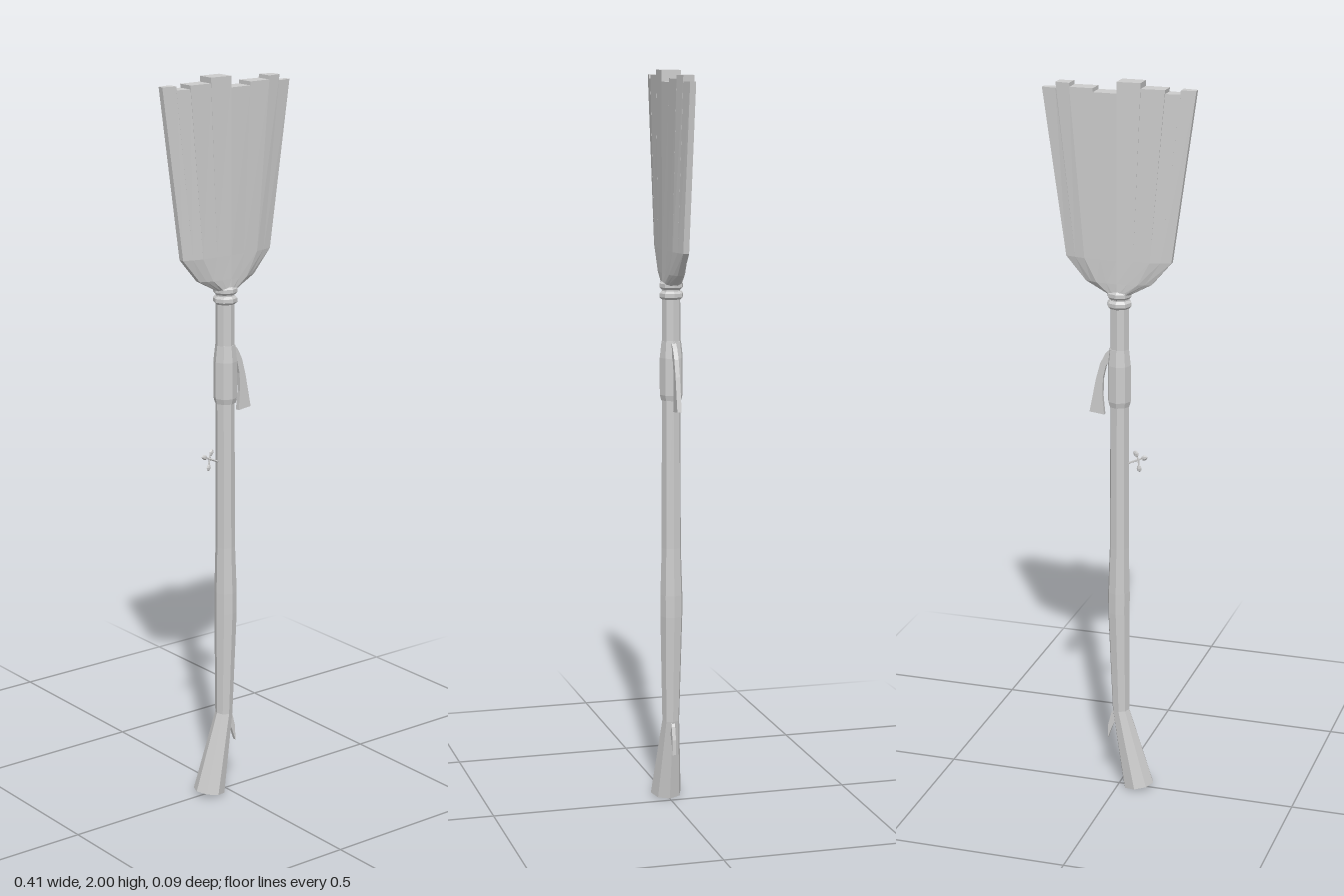
import * as THREE from 'three';

const material = new THREE.MeshStandardMaterial({ color: 0xcccccc, flatShading: true });
const thinMaterial = new THREE.MeshStandardMaterial({ color: 0xcccccc, flatShading: true, side: THREE.DoubleSide });

function add(parent, name, geometry, mat = material) {
  const mesh = new THREE.Mesh(geometry, mat);
  mesh.name = name;
  parent.add(mesh);
  return mesh;
}

// Eight-sided bar through rings given as [centre x, y, radius, slope of the ring].
function ringBar(rings) {
  const n = rings.length - 1;
  const geometry = new THREE.CylinderGeometry(1, 1, 1, 8, n);
  const p = geometry.attributes.position;
  for (let i = 0; i < p.count; i++) {
    const [cx, y, r, slope = 0] = rings[Math.round((p.getY(i) + 0.5) * n)];
    const dx = p.getX(i) * r;
    p.setXYZ(i, cx + dx, y + dx * slope, p.getZ(i) * r);
  }
  geometry.computeVertexNormals();
  return geometry;
}

// One closed strip of the bristle head, from a to b across its width.
function bristleStrip(a, b, top) {
  const levels = [[1.435, 0.03], [1.467, 0.09], [1.53, 0.144], [top, 0.207]];
  const halfDepth = (u) => {
    const t = Math.abs(u);
    return t < 0.62 ? 0.026 - 0.004 * t / 0.62 : 0.022 - 0.014 * (t - 0.62) / 0.38;
  };
  const positions = [], index = [];
  for (const [y, w] of levels) {
    for (const [u, s] of [[a, 1], [b, 1], [b, -1], [a, -1]]) positions.push(u * w, y, s * halfDepth(u));
  }
  for (let l = 0; l < levels.length - 1; l++) {
    for (let k = 0; k < 4; k++) {
      const i = l * 4 + k, j = l * 4 + (k + 1) % 4;
      index.push(i, j, j + 4, i, j + 4, i + 4);
    }
  }
  const t = (levels.length - 1) * 4;
  index.push(t, t + 1, t + 2, t, t + 2, t + 3, 0, 2, 1, 0, 3, 2);
  const geometry = new THREE.BufferGeometry();
  geometry.setAttribute('position', new THREE.Float32BufferAttribute(positions, 3));
  geometry.setIndex(index);
  geometry.computeVertexNormals();
  return geometry;
}

// Thin plate cut from an outline in the xy plane.
function plate(points, depth) {
  const shape = new THREE.Shape(points.map(([x, y]) => new THREE.Vector2(x, y)));
  return new THREE.ExtrudeGeometry(shape, { depth, bevelEnabled: false }).translate(0, 0, -depth / 2);
}

function rod(from, to, r) {
  const a = new THREE.Vector3(...from), b = new THREE.Vector3(...to), d = b.clone().sub(a);
  const geometry = new THREE.CylinderGeometry(r, r, d.length(), 5);
  geometry.applyQuaternion(new THREE.Quaternion().setFromUnitVectors(new THREE.Vector3(0, 1, 0), d.normalize()));
  const m = a.add(b).multiplyScalar(0.5);
  return geometry.translate(m.x, m.y, m.z);
}

export function createModel() {
  const broom = new THREE.Group();
  broom.name = 'broom';

  // Handle with a bent, flared foot
  add(broom, 'handle', ringBar([
    [-0.057, 0.012, 0.043, -0.18], [-0.005, 0.235, 0.024, -0.08], [0.001, 0.53, 0.031],
    [0.001, 0.59, 0.031], [0, 0.72, 0.027], [-0.001, 1.13, 0.026], [-0.001, 1.46, 0.025],
  ]));

  // Wrapped grip and the two cords under the head
  add(broom, 'grip', ringBar([[0, 1.125, 0.028], [0, 1.14, 0.032], [0, 1.24, 0.032], [0, 1.285, 0.027]]));
  for (const y of [1.408, 1.434]) {
    add(broom, 'cord', ringBar([[0, y - 0.011, 0.027], [0, y - 0.005, 0.033], [0, y + 0.005, 0.033], [0, y + 0.011, 0.027]]));
  }

  // Flat bristle head with an uneven top
  const head = new THREE.Group();
  head.name = 'bristles';
  broom.add(head);
  const cuts = [-1, -0.81, -0.62, -0.31, 0, 0.31, 0.62, 0.81, 1];
  const tops = [1.985, 1.975, 1.985, 2, 1.97, 1.98, 1.99, 1.974];
  tops.forEach((top, i) => add(head, 'bristleStrip', bristleStrip(cuts[i], cuts[i + 1], top)));

  // Loose end of the wrap
  add(broom, 'ribbon', plate([
    [0.022, 1.285], [0.038, 1.268], [0.052, 1.24], [0.064, 1.195], [0.082, 1.103],
    [0.041, 1.098], [0.046, 1.15], [0.044, 1.2], [0.036, 1.235], [0.022, 1.255],
  ], 0.012), thinMaterial);

  // Splinter near the foot
  add(broom, 'splinter', plate([
    [0.008, 0.245], [0.022, 0.22], [0.031, 0.185], [0.032, 0.143], [0.02, 0.178], [0.004, 0.21],
  ], 0.01), thinMaterial);

  // Sprig with three small leaves
  const sprig = new THREE.Group();
  sprig.name = 'sprig';
  broom.add(sprig);
  const hub = [-0.053, 0.977, 0];
  add(sprig, 'stem', rod([-0.02, 0.962, 0], hub, 0.003));
  for (const [x, y] of [[-0.07, 0.984], [-0.047, 0.994], [-0.056, 0.953]]) {
    add(sprig, 'twig', rod(hub, [x, y, 0], 0.0025));
    const leaf = add(sprig, 'leaf', new THREE.SphereGeometry(0.01, 6, 4));
    leaf.position.set(x, y, 0);
    leaf.scale.set(0.7, 1, 0.45);
    leaf.rotation.z = Math.atan2(y - hub[1], x - hub[0]) - Math.PI / 2;
  }
  return broom;
}
